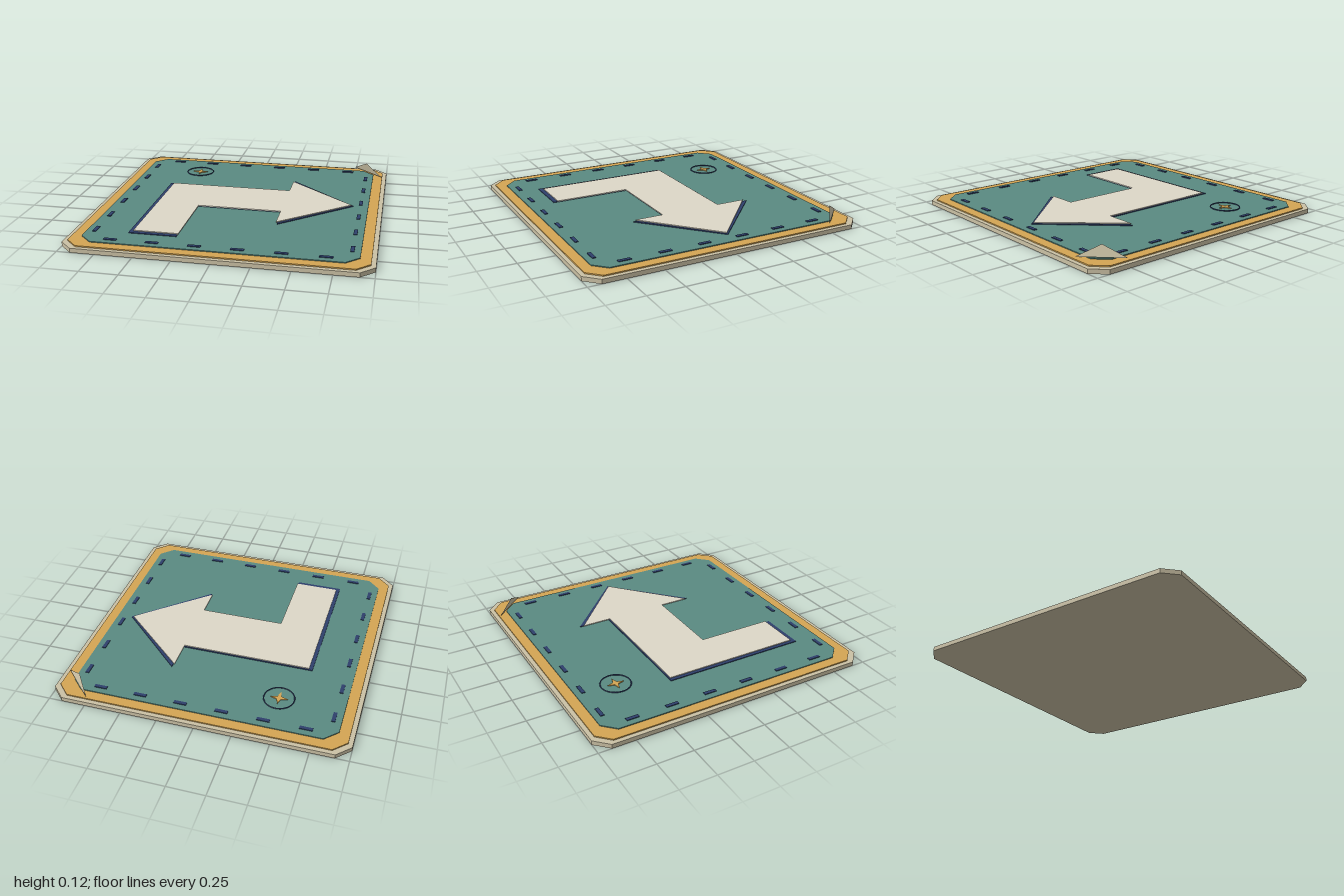
import * as THREE from 'three';

const mat = (color) => new THREE.MeshStandardMaterial({ color });
const CREAM = mat(0xddd7c7), SAND = mat(0xcbc1a5), GOLD = mat(0xd4a553);
const TEAL = mat(0x5a8a82), NAVY = mat(0x2e3f6b);

// Flat plate from an outline of [x, z] points, between heights y0 and y1
function plate(name, points, y0, y1, material) {
  const shape = new THREE.Shape(points.map(([x, z]) => new THREE.Vector2(x, -z)));
  const geo = new THREE.ExtrudeGeometry(shape, { depth: y1 - y0, bevelEnabled: false });
  geo.rotateX(-Math.PI / 2).translate(0, y0, 0);
  const mesh = new THREE.Mesh(geo, material);
  mesh.name = name;
  return mesh;
}

// Square outline with cut corners
const cutSquare = (r, c) => [
  [r - c, -r], [r, c - r], [r, r - c], [r - c, r],
  [c - r, r], [-r, r - c], [-r, c - r], [c - r, -r],
];

export function createModel() {
  const model = new THREE.Group();
  model.name = 'turnSignTile';

  // Stacked plates
  model.add(
    plate('base', cutSquare(1, 0.09), 0, 0.03, SAND),
    plate('border', cutSquare(0.97, 0.085), 0.03, 0.038, GOLD),
    plate('panel', cutSquare(0.9, 0.085), 0.038, 0.044, TEAL),
  );

  // Right-turn arrow on its slightly larger dark backing
  model.add(
    plate('arrowBacking', [
      [-0.615, -0.292], [0.315, -0.292], [0.315, -0.52], [0.795, -0.065], [0.315, 0.38],
      [0.315, 0.15], [-0.29, 0.15], [-0.29, 0.72], [-0.615, 0.72],
    ], 0.044, 0.049, NAVY),
    plate('arrow', [
      [-0.59, -0.283], [0.305, -0.283], [0.305, -0.495], [0.78, -0.065], [0.305, 0.36],
      [0.305, 0.155], [-0.285, 0.155], [-0.285, 0.69], [-0.59, 0.69],
    ], 0.049, 0.055, CREAM),
  );

  // Dashed stitching along the four sides
  const stitches = new THREE.Group();
  stitches.name = 'stitches';
  const dash = new THREE.BoxGeometry(0.086, 0.005, 0.025);
  for (let side = 0; side < 4; side++) {
    const row = new THREE.Group();
    row.name = 'stitchRow';
    for (let i = 0; i < 6; i++) {
      const stitch = new THREE.Mesh(dash, NAVY);
      stitch.name = 'stitch';
      stitch.position.set((i - 2.5) * 0.278, 0.0465, 0.845);
      row.add(stitch);
    }
    row.rotation.y = side * Math.PI / 2;
    stitches.add(row);
  }
  model.add(stitches);

  // Compass mark: thin ring around a four-pointed star
  const compass = new THREE.Group();
  compass.name = 'compass';
  const ring = new THREE.Mesh(new THREE.TorusGeometry(0.102, 0.004, 6, 40), NAVY);
  ring.name = 'compassRing';
  ring.rotation.x = Math.PI / 2;
  ring.position.y = 0.047;
  const star = Array.from({ length: 8 }, (_, i) => {
    const a = i * Math.PI / 4, r = i % 2 ? 0.019 : 0.058;
    return [r * Math.cos(a), r * Math.sin(a)];
  });
  compass.add(ring, plate('compassStar', star, 0.044, 0.05, GOLD));
  compass.position.set(-0.465, 0, -0.62);
  model.add(compass);

  // Raised paper corner
  const flapGeo = new THREE.BufferGeometry();
  flapGeo.setAttribute('position', new THREE.Float32BufferAttribute(
    [0.745, 0.05, -0.97, 0.84, 0.125, -0.845, 0.965, 0.05, -0.748], 3));
  flapGeo.computeVertexNormals();
  const flapMat = SAND.clone();
  flapMat.side = THREE.DoubleSide;
  const flap = new THREE.Mesh(flapGeo, flapMat);
  flap.name = 'cornerFlap';
  model.add(flap);

  return model;
}
